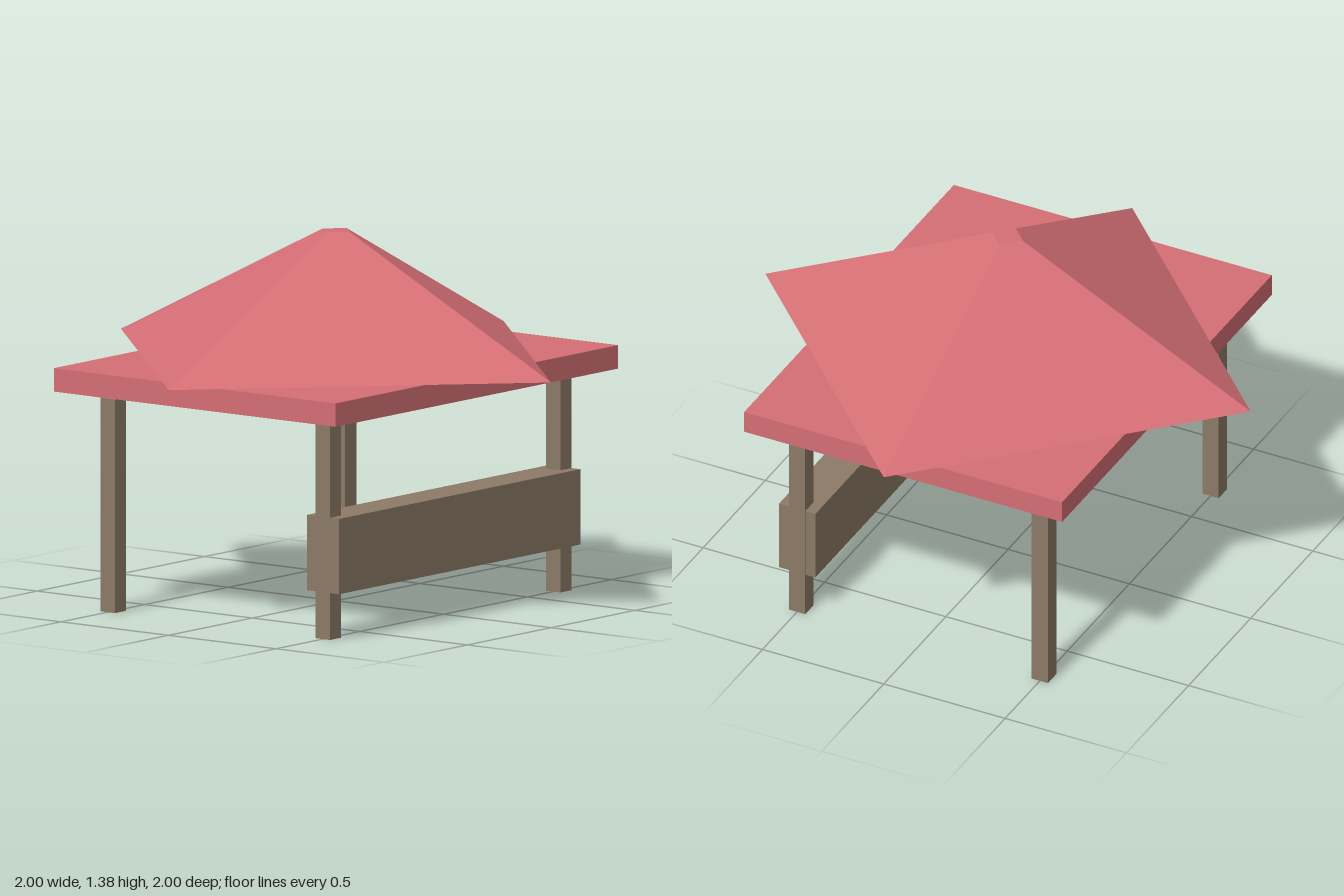
import * as THREE from 'three';

export function createModel() {
  const group = new THREE.Group();
  const material = (color) => new THREE.MeshStandardMaterial({ color, flatShading: true });
  const red = material(0xd46f75);
  const wood = material(0x8c7a66);
  const peach = material(0xf0a08c);

  const add = (name, geometry, mat, x, y, z) => {
    const mesh = new THREE.Mesh(geometry, mat);
    mesh.name = name;
    mesh.position.set(x, y, z);
    group.add(mesh);
  };
  // Box standing on a given base height
  const box = (name, mat, w, h, d, x, base, z) =>
    add(name, new THREE.BoxGeometry(w, h, d), mat, x, base + h / 2, z);

  // Four posts; one diagonal pair carries caps
  for (const sx of [-1, 1]) {
    for (const sz of [-1, 1]) {
      const capped = sx === sz;
      box('post', wood, 0.067, capped ? 0.798 : 0.82, 0.067, sx * 0.687, 0, sz * 0.5);
      if (capped) box('postCap', peach, 0.107, 0.022, 0.107, sx * 0.687, 0.798, sz * 0.5);
    }
  }

  // Counter across the front posts
  box('counter', wood, 1.44, 0.28, 0.15, 0, 0.174, 0.5);

  // Flat roof slab, with a four-sided blunt pyramid turned corner-on above it
  box('roofSlab', red, 1.687, 0.087, 1.31, 0, 0.82, 0);
  add('pyramidRoof', new THREE.CylinderGeometry(0.063, 1, 0.466, 4), red, 0, 0.911 + 0.233, 0);

  return group;
}
